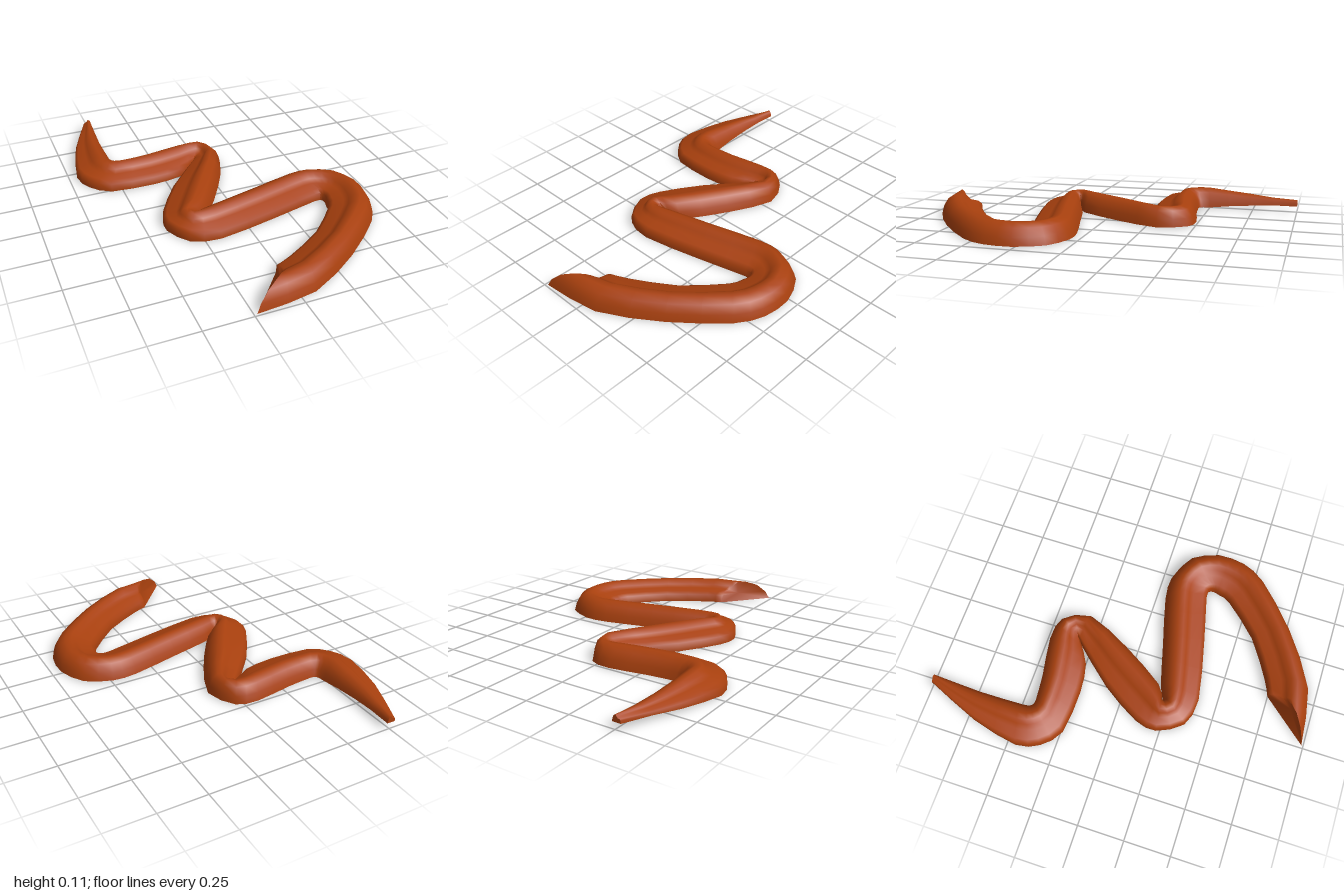
import * as THREE from 'three';
import { toCreasedNormals } from 'three/addons/utils/BufferGeometryUtils.js';

// Paired edge points along the squiggle: [ax, az, bx, bz], from the thin tip to the wide end
const stations = [
  [-0.53, -1, -0.485, -1],
  [-0.65, -0.71, -0.495, -0.74],
  [-0.705, -0.455, -0.485, -0.5],
  [-0.665, -0.33, -0.475, -0.45],
  [-0.56, -0.24, -0.44, -0.44],
  [-0.32, -0.225, -0.29, -0.455],
  [-0.16, -0.25, -0.08, -0.49],
  [-0.05, -0.32, 0.04, -0.465],
  [-0.05, -0.325, 0.11, -0.305],
  [-0.25, -0.1, 0.005, -0.07],
  [-0.38, 0.11, -0.145, 0.165],
  [-0.4, 0.23, -0.225, 0.21],
  [-0.32, 0.365, -0.225, 0.215],
  [-0.165, 0.4, -0.15, 0.18],
  [0.16, 0.335, 0.08, 0.12],
  [0.43, 0.27, 0.35, 0.05],
  [0.47, 0.275, 0.485, 0.045],
  [0.475, 0.29, 0.63, 0.115],
  [0.475, 0.305, 0.7, 0.265],
  [0.465, 0.34, 0.69, 0.42],
  [0.44, 0.4, 0.615, 0.555],
  [0.27, 0.58, 0.375, 0.77],
  [0.06, 0.71, 0.08, 0.95],
  [-0.03, 0.75, -0.235, 0.99],
];

// Cross-section: fraction from edge a to edge b, and height (low ledge, then crown)
const section = [
  [0, 0.006], [0.01, 0.05], [0.1, 0.066], [0.33, 0.072], [0.44, 0.088],
  [0.54, 0.11], [0.68, 0.112], [0.84, 0.092], [0.95, 0.05], [1, 0.008],
];

function squiggleGeometry() {
  const last = stations.length - 1;
  const rail = k => new THREE.CatmullRomCurve3(
    stations.map(s => new THREE.Vector3(s[k], 0, s[k + 1])), false, 'catmullrom', 0.4);
  const railA = rail(0), railB = rail(2);
  const rows = last * 2, n = section.length;
  const positions = [], index = [];

  const addPoint = (row, u, y) => {
    const p = railA.getPoint(row / rows).lerp(railB.getPoint(row / rows), u);
    // The back tail thins towards its tip
    const f = row < 4 ? THREE.MathUtils.clamp(0.34 + 0.66 * (p.z + 0.88) / 0.43, 0.34, 1) : 1;
    // The wide end is scooped inwards
    if (row === rows) p.x += 0.075 * Math.sin(Math.PI * u);
    positions.push(p.x, 0.058 + (y - 0.058) * f, p.z);
    return positions.length / 3 - 1;
  };

  for (let i = 0; i <= rows; i++) for (const [u, y] of section) addPoint(i, u, y);
  for (let i = 0; i < rows; i++) {
    for (let j = 0; j < n; j++) {
      const k = (j + 1) % n;
      const a = i * n + j, b = (i + 1) * n + j, c = i * n + k, d = (i + 1) * n + k;
      index.push(a, b, c, b, d, c);
    }
  }
  // End caps
  const start = addPoint(0, 0.55, 0.04), end = addPoint(rows, 0.55, 0.04);
  for (let j = 0; j < n; j++) {
    const k = (j + 1) % n;
    index.push(start, j, k, end, rows * n + k, rows * n + j);
  }

  const geometry = new THREE.BufferGeometry();
  geometry.setAttribute('position', new THREE.Float32BufferAttribute(positions, 3));
  geometry.setIndex(index);
  return toCreasedNormals(geometry, 1.1);
}

export function createModel() {
  const group = new THREE.Group();
  group.name = 'squiggle';
  const rust = new THREE.MeshStandardMaterial({ color: 0xa8400e, side: THREE.DoubleSide });
  rust.name = 'rust orange';
  const strand = new THREE.Mesh(squiggleGeometry(), rust);
  strand.name = 'wavyStrand';
  group.add(strand);
  return group;
}
